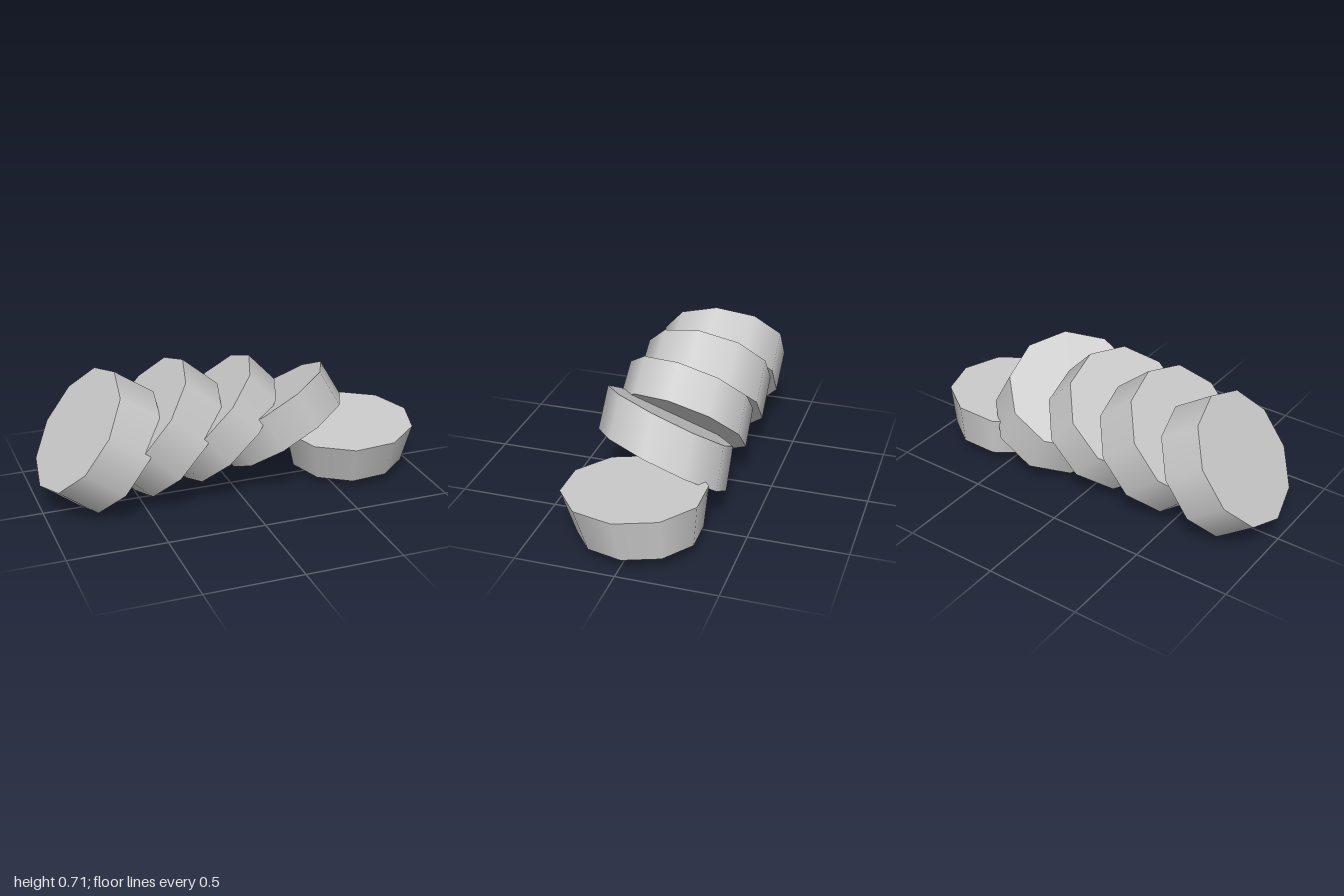
import * as THREE from 'three';

// Each slice: centre of its lower face, the two half-axes of that face,
// the offset to the upper face, and the upper face's relative size.
const slices = [
  { centre: [-0.605, 0.283, -0.025], a: [0.205, 0.282, 0], b: [0.02, -0.014, 0.347], up: [-0.195, 0.138, 0], scale: 0.985 },
  { centre: [-0.285, 0.295, -0.028], a: [0.225, 0.265, 0], b: [-0.015, 0.01, 0.348], up: [-0.18, 0.158, -0.002], scale: 0.985 },
  { centre: [0.005, 0.302, -0.022], a: [0.245, 0.242, 0], b: [-0.043, 0.035, 0.345], up: [-0.135, 0.152, -0.006], scale: 0.98 },
  { centre: [0.32, 0.25, -0.013], a: [0.3, 0.165, 0], b: [-0.06, 0.096, 0.337], up: [-0.105, 0.195, -0.01], scale: 0.98 },
  { centre: [0.66, 0.057, -0.01], a: [0.302, 0.012, -0.008], b: [0.006, -0.011, 0.307], up: [-0.01, 0.213, 0.03], scale: 1.157 },
];

// Ten-sided disc with smooth sides, skewed into place by its own axes
function makeSlice({ centre, a, b, up, scale }, material) {
  const geometry = new THREE.CylinderGeometry(scale, 1, 1, 10);
  geometry.translate(0, 0.5, 0);
  const matrix = new THREE.Matrix4().makeBasis(
    new THREE.Vector3(...b).negate(),
    new THREE.Vector3(...up),
    new THREE.Vector3(...a)
  );
  matrix.setPosition(...centre);
  geometry.applyMatrix4(matrix);
  return new THREE.Mesh(geometry, material);
}

export function createModel() {
  const model = new THREE.Group();
  model.name = 'slicedRoll';
  const material = new THREE.MeshStandardMaterial({ color: 0xcccccc });

  // Row of leaning slices, the last one lying flat
  slices.forEach((spec, i) => {
    const slice = makeSlice(spec, material);
    slice.name = i < slices.length - 1 ? `leaningSlice${i + 1}` : 'flatEndSlice';
    model.add(slice);
  });
  return model;
}
